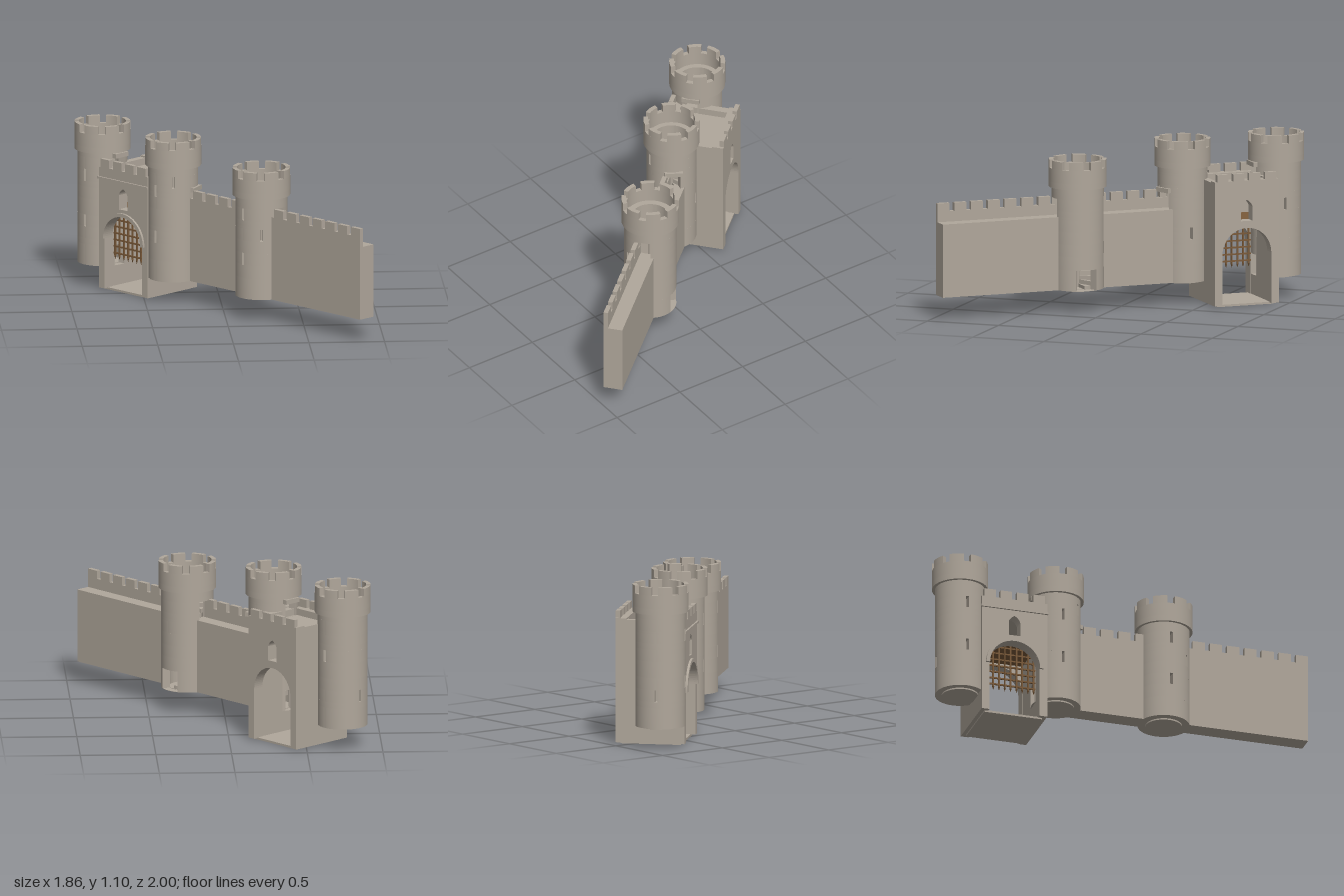
import * as THREE from 'three';
import { toCreasedNormals } from 'three/addons/utils/BufferGeometryUtils.js';

const PI = Math.PI;

export function createModel() {
  const stone = new THREE.MeshStandardMaterial({ color: 0xb0a79b });
  stone.name = 'stone';
  const wood = new THREE.MeshStandardMaterial({ color: 0x7a5a3a });
  wood.name = 'wood';

  const model = new THREE.Group();
  model.name = 'castle';
  // Local x runs along the wall, local +z is the outer face
  model.rotation.y = -Math.atan2(0.75, 0.66);

  const add = (parent, name, geo, mat = stone) => {
    const m = new THREE.Mesh(geo, mat);
    m.name = name;
    parent.add(m);
    return m;
  };
  const group = (name, x = 0, z = 0) => {
    const g = new THREE.Group();
    g.name = name;
    g.position.set(x, 0, z);
    model.add(g);
    return g;
  };
  // Box given by its limits on each axis
  const box = (parent, name, x0, x1, y0, y1, z0, z1, mat) => {
    const m = add(parent, name, new THREE.BoxGeometry(x1 - x0, y1 - y0, z1 - z0), mat);
    m.position.set((x0 + x1) / 2, (y0 + y1) / 2, (z0 + z1) / 2);
    return m;
  };

  // Ring sector standing upright; angle 0 is +x and PI/2 is -z
  const ring = (ri, ro, y0, y1, a0 = 0, a1 = 2 * PI) => {
    const s = new THREE.Shape();
    const full = a1 - a0 > 2 * PI - 1e-4;
    s.absarc(0, 0, ro, a0, a1, false);
    if (full) {
      const h = new THREE.Path();
      h.absarc(0, 0, ri, 0, 2 * PI, true);
      s.holes.push(h);
    } else {
      s.absarc(0, 0, ri, a1, a0, true);
      s.closePath();
    }
    const geo = new THREE.ExtrudeGeometry(s, {
      depth: y1 - y0, bevelEnabled: false,
      curveSegments: Math.max(2, Math.ceil((a1 - a0) / (2 * PI) * 44)),
    });
    geo.rotateX(-PI / 2).translate(0, y0, 0);
    return toCreasedNormals(geo, 0.6);
  };

  // Hollow round tower; openings are [angle, half angle, y0, y1]
  function tower(name, x, z, r, headR, headY, openings) {
    const g = group(name, x, z);
    const inner = 0.12, base = 0.15;
    const ys = [...new Set([base, headY, ...openings.flatMap(o => [o[2], o[3]])])].sort((a, b) => a - b);
    for (let i = 0; i < ys.length - 1; i++) {
      const mid = (ys[i] + ys[i + 1]) / 2;
      const gaps = openings.filter(o => o[2] < mid && o[3] > mid).sort((a, b) => a[0] - b[0]);
      if (!gaps.length) add(g, 'towerWall', ring(inner, r, ys[i], ys[i + 1]));
      gaps.forEach((o, k) => {
        const next = gaps[(k + 1) % gaps.length];
        const end = next[0] - next[1] + (k + 1 === gaps.length ? 2 * PI : 0);
        add(g, 'towerWall', ring(inner, r, ys[i], ys[i + 1], o[0] + o[1], end));
      });
    }
    // Bottom disc
    const disc = add(g, 'towerFloor', new THREE.CylinderGeometry(inner + 0.002, inner + 0.002, 0.015, 40));
    disc.position.y = 0.1475;
    // Overhanging head with parapet and merlons
    add(g, 'headFloor', ring(inner, headR, headY, headY + 0.04));
    add(g, 'parapet', ring(headR - 0.03, headR, headY + 0.04, headY + 0.13));
    for (let i = 0; i < 8; i++) {
      const a = i * PI / 4 + 0.1;
      add(g, 'merlon', ring(headR - 0.03, headR, headY + 0.13, headY + 0.183, a, a + 0.52));
    }
    // Spiral stair
    const n = 26, rise = (headY + 0.03 - base) / n, turn = 2 * PI / 15;
    for (let i = 0; i < n; i++) {
      const a = PI / 2 + i * turn;
      add(g, 'stairStep', ring(0.01, inner, base + i * rise, base + (i + 1) * rise, a, a + turn + 0.03));
    }
    const post = add(g, 'stairPost', new THREE.CylinderGeometry(0.012, 0.012, headY - base + 0.03, 12));
    post.position.y = (headY + base + 0.03) / 2;
    return g;
  }

  // Stone lintel above a tower door
  const lintel = (g, a, r, y) => {
    const m = add(g, 'doorLintel', new THREE.BoxGeometry(0.05, 0.03, 0.12));
    m.position.set(Math.cos(a) * r, y, -Math.sin(a) * r);
    m.rotation.y = a;
  };

  const slit = (a, y, h = 0.06) => [a, h, y, y + 0.08];
  const OUT = -PI / 2, BACK = PI / 2;
  const door = 0.27;

  const towerA = tower('gateTowerLeft', -1.103, 0.018, 0.165, 0.185, 0.915, [
    slit(OUT, 0.72), slit(OUT, 0.41), slit(BACK, 0.6), slit(PI, 0.33),
    [0, door, 0.151, 0.29], [0, door, 0.785, 0.88]]);
  lintel(towerA, 0, 0.16, 0.895);

  const towerB = tower('gateTowerRight', -0.441, 0.022, 0.165, 0.185, 0.915, [
    slit(OUT, 0.72), slit(OUT, 0.41), slit(-PI / 4, 0.785), slit(BACK, 0.44),
    [0.35, door, 0.64, 0.75], [PI, door, 0.151, 0.29], [PI, door, 0.786, 0.88]]);
  lintel(towerB, 0.35, 0.155, 0.765);
  lintel(towerB, PI, 0.16, 0.895);

  tower('wallTower', 0.323, -0.033, 0.172, 0.191, 0.83, [
    slit(OUT, 0.68), slit(OUT, 0.38), slit(-PI / 4, 0.545),
    [BACK, 0.42, 0.152, 0.29], [0, door, 0.64, 0.76], [PI, door, 0.64, 0.761]]);

  // Curtain walls: walkway, outer parapet and merlons
  function wall(name, x0, x1) {
    const g = group(name);
    box(g, 'wallBody', x0, x1, 0.15, 0.64, -0.097, 0.031);
    box(g, 'wallParapet', x0, x1, 0.64, 0.71, 0.001, 0.031);
    for (let x = x1; x - 0.085 > x0; x -= 0.119) {
      box(g, 'wallMerlon', x - 0.085, x, 0.71, 0.765, 0.001, 0.031);
    }
  }
  wall('innerCurtainWall', -0.33, 0.193);
  wall('outerCurtainWall', 0.453, 1.303);

  // Gatehouse, centred between its two towers
  const gate = group('gatehouse', -0.7695, 0);
  const W = 0.2265, A = 0.173, spring = 0.35;
  const archWall = (name, z, top) => {
    const s = new THREE.Shape();
    s.moveTo(-W, 0.01).lineTo(-A, 0.01).lineTo(-A, spring);
    s.absarc(0, spring, A, PI, 0, true);
    s.lineTo(A, 0.01).lineTo(W, 0.01).lineTo(W, top).lineTo(-W, top);
    s.closePath();
    // Pointed window
    const h = new THREE.Path();
    h.moveTo(-0.04, 0.57).lineTo(-0.04, 0.665).quadraticCurveTo(-0.035, 0.69, 0, 0.712);
    h.quadraticCurveTo(0.035, 0.69, 0.04, 0.665).lineTo(0.04, 0.57).closePath();
    s.holes.push(h);
    const geo = new THREE.ExtrudeGeometry(s, { depth: 0.075, bevelEnabled: false, curveSegments: 20 });
    add(gate, name, geo).position.z = z;
  };
  archWall('frontWall', 0.085, 0.83);
  archWall('backWall', -0.305, 0.84);

  // Side walls with a door into each tower
  for (const side of [-1, 1]) {
    const s = new THREE.Shape();
    s.moveTo(-0.085, 0.01).lineTo(0.23, 0.01).lineTo(0.23, 0.83).lineTo(-0.085, 0.83).closePath();
    const h = new THREE.Path();
    h.moveTo(-0.062, 0.151).lineTo(0.025, 0.151).lineTo(0.025, 0.29).lineTo(-0.062, 0.29).closePath();
    s.holes.push(h);
    const geo = new THREE.ExtrudeGeometry(s, { depth: 0.05, bevelEnabled: false });
    geo.rotateY(PI / 2);
    add(gate, 'sideWall', geo).position.x = side > 0 ? W - 0.05 : -W;
  }
  box(gate, 'gateFloor', -0.2, 0.2, 0, 0.014, -0.275, 0.13);
  box(gate, 'roofFloor', -0.18, 0.18, 0.755, 0.785, -0.235, 0.09);
  box(gate, 'woodCeiling', -0.18, 0.18, 0.54, 0.56, -0.235, 0.09, wood);

  // Battlements front and back
  for (let i = 0; i < 4; i++) {
    const x = -W + 0.017 + i * 0.113;
    box(gate, 'gateMerlon', x, x + 0.08, 0.83, 0.885, 0.13, 0.16);
    box(gate, 'gateMerlon', x, x + 0.08, 0.84, 0.888, -0.305, -0.275);
  }
  // String course and arch moulding
  box(gate, 'stringCourse', -W - 0.005, W + 0.005, 0.75, 0.765, 0.155, 0.172);
  const moulding = ring(A, A + 0.025, 0, 0.015, 0, PI);
  moulding.rotateX(PI / 2);
  add(gate, 'archMoulding', moulding).position.set(0, spring, 0.16);

  // Portcullis with pointed bars
  const grille = new THREE.Group();
  grille.name = 'portcullis';
  grille.position.z = 0.072;
  gate.add(grille);
  for (let i = -4; i <= 4; i++) {
    const x = i * 0.04;
    box(grille, 'verticalBar', x - 0.005, x + 0.005, 0.22, 0.545, -0.005, 0.005, wood);
    const tip = add(grille, 'barTip', new THREE.ConeGeometry(0.008, 0.025, 4), wood);
    tip.rotation.x = PI;
    tip.position.set(x, 0.208, 0);
  }
  for (let y = 0.24; y < 0.54; y += 0.045) {
    box(grille, 'crossBar', -A, A, y - 0.005, y + 0.005, -0.007, 0.003, wood);
  }
  return model;
}
